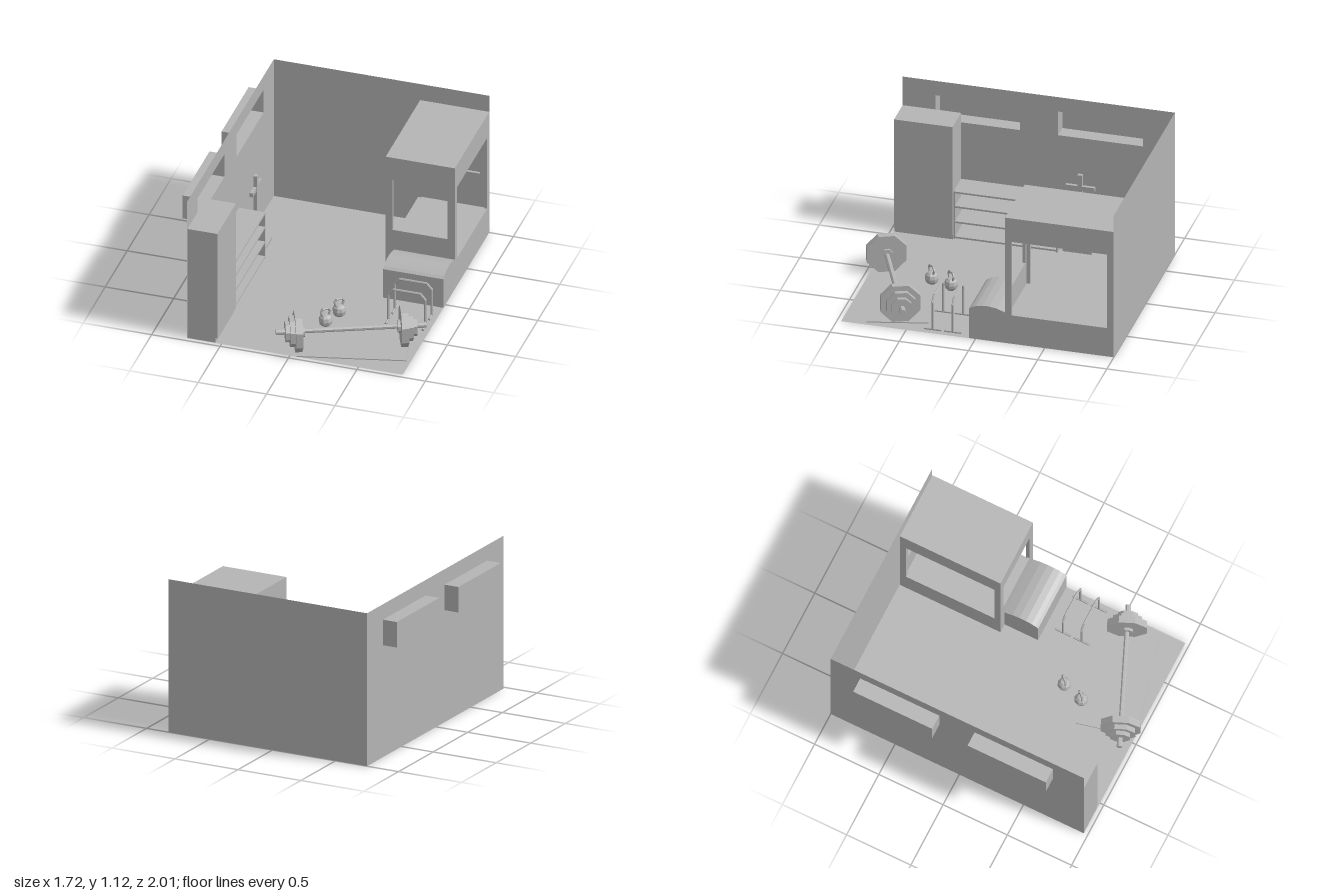
import * as THREE from 'three';

const grey = new THREE.MeshStandardMaterial({ color: 0xb4b4b4, flatShading: true, side: THREE.DoubleSide });
grey.name = 'plain grey';

function add(parent, name, geometry, x = 0, y = 0, z = 0) {
  const mesh = new THREE.Mesh(geometry, grey);
  mesh.name = name;
  mesh.position.set(x, y, z);
  parent.add(mesh);
  return mesh;
}

function group(parent, name, x = 0, y = 0, z = 0) {
  const g = new THREE.Group();
  g.name = name;
  g.position.set(x, y, z);
  parent.add(g);
  return g;
}

// Box given by its limits on each axis
function block(parent, name, [x0, x1], [y0, y1], [z0, z1]) {
  return add(parent, name, new THREE.BoxGeometry(x1 - x0, y1 - y0, z1 - z0),
    (x0 + x1) / 2, (y0 + y1) / 2, (z0 + z1) / 2);
}

// Rectangle [u0, u1, v0, v1] with rectangular holes
function rectShape([u0, u1, v0, v1], holes = []) {
  const path = (P, a, b, c, d) => new P([[a, c], [b, c], [b, d], [a, d]].map(p => new THREE.Vector2(...p)));
  const shape = path(THREE.Shape, u0, u1, v0, v1);
  holes.forEach(h => shape.holes.push(path(THREE.Path, ...h)));
  return shape;
}

const panel = (rect, holes, depth) =>
  new THREE.ExtrudeGeometry(rectShape(rect, holes), { depth, bevelEnabled: false });

// Chain of straight rods through points
function rods(parent, name, points, radius, sides = 6) {
  const up = new THREE.Vector3(0, 1, 0);
  for (let i = 1; i < points.length; i++) {
    const a = new THREE.Vector3(...points[i - 1]), b = new THREE.Vector3(...points[i]);
    const d = b.clone().sub(a);
    const rod = add(parent, name, new THREE.CylinderGeometry(radius, radius, d.length() + radius * 0.5, sides));
    rod.position.copy(a).add(b).multiplyScalar(0.5);
    rod.quaternion.setFromUnitVectors(up, d.normalize());
  }
}

function buildRoom(root) {
  const room = group(root, 'room');
  const floor = add(room, 'floor', new THREE.PlaneGeometry(1.575, 1.97), 0.0375, 0.001, -0.015);
  floor.rotation.x = -Math.PI / 2;
  add(room, 'backWall', new THREE.PlaneGeometry(1.575, 1.12), 0.0375, 0.56, -1);
  // Side wall with two window niches pushed out of it
  const niches = [[-0.77, -0.155], [0.12, 0.73]];
  const wall = add(room, 'sideWall', new THREE.ShapeGeometry(
    rectShape([-1, 0.97, 0, 1.12], niches.map(n => [...n, 0.82, 1.007]))), -0.75);
  wall.rotation.y = -Math.PI / 2;
  niches.forEach(n => {
    const niche = block(room, 'windowNiche', [-0.86, -0.75], [0.82, 1.007], n);
    const index = niche.geometry.index.array;
    niche.geometry.clearGroups();
    niche.geometry.setIndex(Array.from(index.slice(6))); // open towards the room
  });
}

function buildBooth(root) {
  const booth = group(root, 'booth');
  block(booth, 'roof', [0.32, 0.825], [0.97, 0.99], [-0.998, -0.215]);
  block(booth, 'base', [0.34, 0.805], [0.002, 0.225], [-0.96, -0.235]);
  // Front and back walls
  const x = [0.34, 0.805];
  add(booth, 'frontWall', panel([...x, 0.002, 0.97], [[0.37, 0.77, 0.4, 0.807]], 0.02), 0, 0, -0.235);
  add(booth, 'backPanel', panel([...x, 0.002, 0.97], [[0.37, 0.77, 0.495, 0.807]], 0.02), 0, 0, -0.98);
  // Side walls with wide openings
  [0.34, 0.825].forEach(px => {
    const side = add(booth, 'boothSide',
      panel([-0.998, -0.215, 0.002, 0.97], [[-0.95, -0.26, 0.225, 0.805]], 0.02), px);
    side.rotation.y = -Math.PI / 2;
  });
  // Low rounded bench in front
  const profile = [[-0.215, 0.002], [0.045, 0.002], [0.045, 0.235], [0.025, 0.25], [-0.005, 0.262],
    [-0.05, 0.271], [-0.1, 0.272], [-0.155, 0.263], [-0.215, 0.242]];
  const bench = add(booth, 'roundedBench', new THREE.ExtrudeGeometry(
    new THREE.Shape(profile.map(p => new THREE.Vector2(...p))), { depth: 0.44, bevelEnabled: false }), 0.825);
  bench.rotation.y = -Math.PI / 2;
}

function buildFurniture(root) {
  // Tall cabinet on a recessed plinth
  const cabinet = group(root, 'cabinet');
  block(cabinet, 'cabinetBody', [-0.749, -0.53], [0.04, 0.895], [0.545, 0.968]);
  block(cabinet, 'cabinetPlinth', [-0.749, -0.545], [0.002, 0.04], [0.546, 0.967]);
  // Open shelf unit
  const shelf = group(root, 'shelfUnit');
  [0.008, 0.128, 0.248, 0.362].forEach(y =>
    block(shelf, 'shelfBoard', [-0.749, -0.555], [y, y + 0.013], [-0.205, 0.545]));
  [-0.205, 0.535].forEach(z =>
    block(shelf, 'shelfSide', [-0.749, -0.556], [0.002, 0.374], [z, z + 0.01]));
  // Cross-shaped stand
  const stand = group(root, 'crossStand');
  block(stand, 'standBase', [-0.749, -0.585], [0.002, 0.025], [-0.445, -0.235]);
  block(stand, 'standPost', [-0.682, -0.655], [0.025, 0.577], [-0.355, -0.322]);
  block(stand, 'standArms', [-0.68, -0.657], [0.458, 0.49], [-0.445, -0.235]);
}

function buildDipBars(root) {
  [0.175, 0.32].forEach(z => {
    const bars = group(root, 'dipBar', 0.647, 0, z);
    rods(bars, 'barFrame', [[-0.135, 0.012, 0], [-0.135, 0.22, 0], [-0.098, 0.262, 0],
      [0.098, 0.262, 0], [0.135, 0.22, 0], [0.135, 0.012, 0]], 0.009);
    [-0.135, 0.135].forEach(x =>
      rods(bars, 'barFoot', [[x, 0.011, -0.06], [x, 0.011, 0.06]], 0.009));
  });
}

function buildKettlebell(root, x, z) {
  const bell = group(root, 'kettlebell', x, 0.002, z);
  bell.rotation.y = Math.PI / 4;
  const profile = [[0, 0], [0.028, 0], [0.046, 0.022], [0.05, 0.045], [0.042, 0.07], [0.025, 0.086], [0, 0.09]];
  add(bell, 'bellBody', new THREE.LatheGeometry(profile.map(p => new THREE.Vector2(...p)), 8));
  rods(bell, 'bellHandle', [[-0.024, 0.078, 0], [-0.036, 0.112, 0], [-0.022, 0.135, 0],
    [0.022, 0.135, 0], [0.036, 0.112, 0], [0.024, 0.078, 0]], 0.009);
}

function buildBarbell(root) {
  const mat = add(root, 'floorMat', new THREE.BoxGeometry(0.765, 0.008, 0.43), 0.373, 0.005, 0.674);
  mat.rotation.y = 0.236;

  const barbell = group(root, 'barbell', 0.367, 0.147, 0.722);
  barbell.rotation.y = 0.405;
  const disc = (name, r, from, to, sides = 8) => {
    const geometry = new THREE.CylinderGeometry(r, r, to - from, sides);
    geometry.rotateY(Math.PI / sides).rotateZ(Math.PI / 2);
    add(barbell, name, geometry, (from + to) / 2);
  };
  disc('bar', 0.018, -0.46, 0.46);
  // Each end: collar, three plates of falling size, sleeve
  const stack = [['collar', 0.045, 0.325, 0.345], ['largePlate', 0.15, 0.345, 0.395],
    ['mediumPlate', 0.11, 0.395, 0.43], ['smallPlate', 0.075, 0.43, 0.46], ['sleeve', 0.021, 0.46, 0.525]];
  stack.forEach(([name, r, a, b]) => {
    disc(name, r, a, b);
    disc(name, r, -b, -a);
  });
}

export function createModel() {
  const root = new THREE.Group();
  root.name = 'gymRoom';
  buildRoom(root);
  buildBooth(root);
  buildFurniture(root);
  buildDipBars(root);
  buildKettlebell(root, 0.165, 0.36);
  buildKettlebell(root, 0.115, 0.515);
  buildBarbell(root);
  return root;
}
